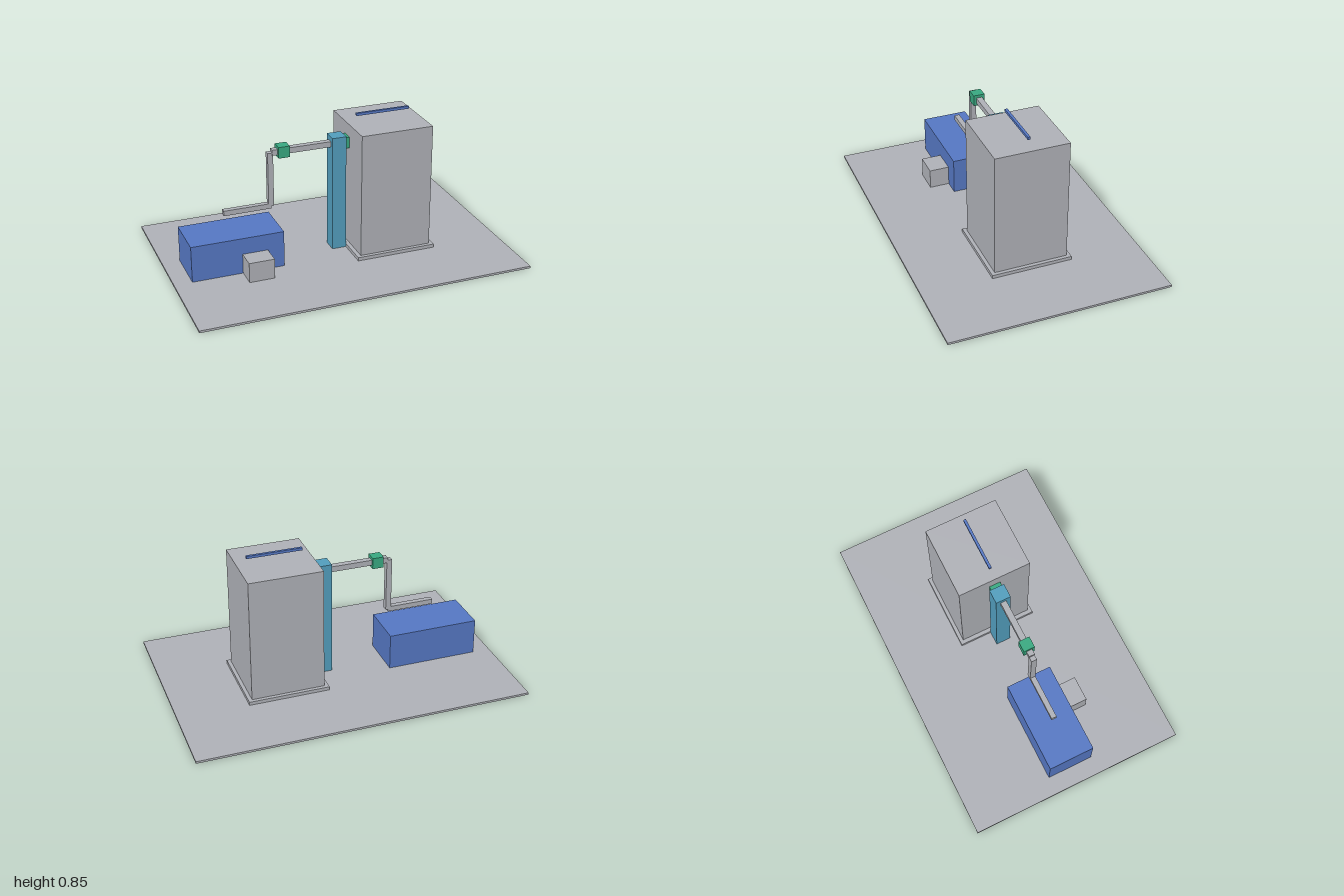
import * as THREE from 'three';

const material = (name, color) => {
  const m = new THREE.MeshStandardMaterial({ color });
  m.name = name;
  return m;
};

export function createModel() {
  const grey = material('grey', 0xaeb0b6);
  const blue = material('blue', 0x5577c2);
  const cyan = material('cyan', 0x529dbc);
  const green = material('green', 0x38a880);

  const group = new THREE.Group();
  group.name = 'pumpStation';

  // Box given by its extents along each axis
  const box = (name, mat, [x0, x1], [y0, y1], [z0, z1]) => {
    const mesh = new THREE.Mesh(new THREE.BoxGeometry(x1 - x0, y1 - y0, z1 - z0), mat);
    mesh.position.set((x0 + x1) / 2, (y0 + y1) / 2, (z0 + z1) / 2);
    mesh.name = name;
    group.add(mesh);
  };
  const half = (d) => [-d, d];
  const floor = 0.013;

  // Ground slab
  box('baseSlab', grey, [-1, 1], [0, floor], half(0.667));

  // Tower on its plinth, with a bar floating above the roof
  box('plinth', grey, [0.086, 0.575], [floor, 0.034], half(0.245));
  box('tower', grey, [0.111, 0.553], [0.034, 0.791], half(0.223));
  box('topBar', blue, [0.165, 0.497], [0.83, 0.846], half(0.008));

  // Column beside the tower
  box('column', cyan, [0, 0.086], [floor, 0.727], half(0.046));

  // Square pipe run from the column down over the tank
  box('upperPipe', grey, [-0.358, 0.04], [0.664, 0.698], half(0.018));
  box('dropPipe', grey, [-0.386, -0.353], [0.348, 0.681], half(0.017));
  box('lowerPipe', grey, [-0.657, -0.369], [0.333, 0.364], half(0.016));

  // Valve blocks on the pipe and between column and tower
  for (const x of [-0.291, 0.085])
    box('valveBlock', green, [x - 0.034, x + 0.034], [0.648, 0.716], half(0.034));

  // Tank with a small block on its front
  box('tank', blue, [-0.893, -0.337], [floor, 0.235], half(0.141));
  box('frontBlock', grey, [-0.59, -0.437], [floor, 0.135], [0.141, 0.263]);

  return group;
}
